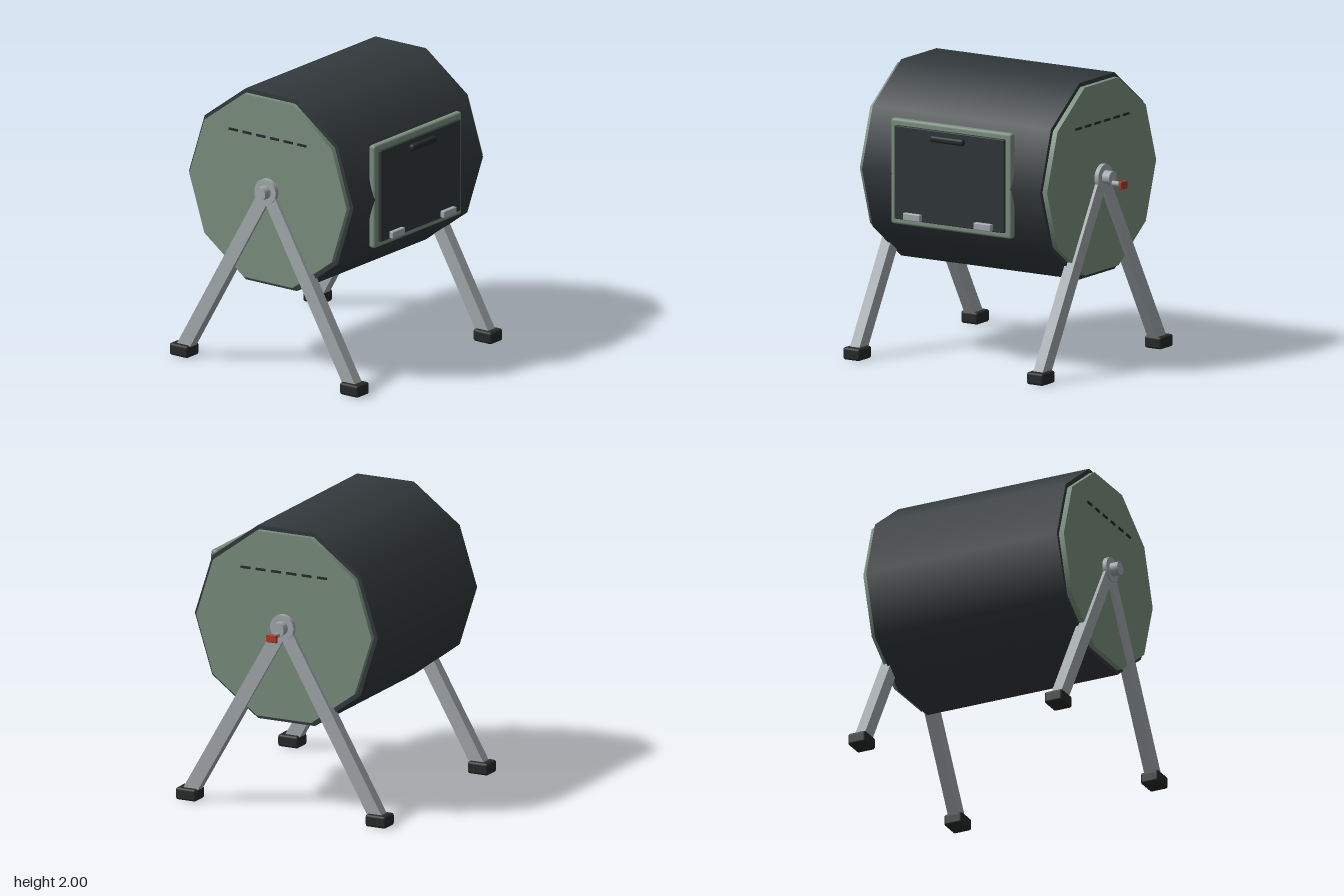
import * as THREE from 'three';
import { RoundedBoxGeometry } from 'three/addons/geometries/RoundedBoxGeometry.js';

const mat = (color) => new THREE.MeshStandardMaterial({ color });

export function createModel() {
  const model = new THREE.Group();
  model.name = 'tumblingComposter';

  const dark = mat(0x33393c), green = mat(0x7a8f7f), steel = mat(0xa3a9ad);
  const panel = mat(0x2f3739), black = mat(0x262a28), red = mat(0xa83a2e);
  const AXIS_Y = 1.316;

  // Everything is laid out symmetrically about the drum's middle
  const body = new THREE.Group();
  body.name = 'body';
  body.position.x = -0.048;
  model.add(body);

  const add = (name, geometry, material, x, y, z) => {
    const mesh = new THREE.Mesh(geometry, material);
    mesh.name = name;
    mesh.position.set(x, y, z);
    body.add(mesh);
    return mesh;
  };
  const box = (w, h, d) => new THREE.BoxGeometry(w, h, d);
  const rounded = (w, h, d, r) => new RoundedBoxGeometry(w, h, d, 3, r);
  // Cylinder lying along x
  const rod = (r, length, sides) =>
    new THREE.CylinderGeometry(r, r, length, sides).rotateZ(Math.PI / 2);

  // Ten-sided drum with smooth shading around its wall
  add('drum', rod(0.705, 1.455, 10).scale(1, 1.02, 1), dark, 0, AXIS_Y, 0);

  for (const s of [1, -1]) {
    // End cap with a row of vent slots
    add('endCap', rod(0.675, 0.06, 10).scale(1, 1.02, 1), green, s * 0.735, AXIS_Y, 0);
    for (let i = 0; i < 6; i++) {
      add('ventSlot', box(0.02, 0.016, 0.073), black, s * 0.763, 1.7, (i - 2.5) * 0.1175);
    }

    // Bearing flange and axle stub
    add('flange', rod(0.09, 0.06, 32), steel, s * 0.767, AXIS_Y, 0);
    add('axle', rod(0.047, 0.12, 32), steel, s * 0.797, AXIS_Y, 0);

    // A-frame legs from the axle down to the feet
    for (const f of [1, -1]) {
      const top = new THREE.Vector3(s * 0.749, AXIS_Y, 0);
      const foot = new THREE.Vector3(s * 0.749, 0.05, f * 0.725);
      const dir = foot.clone().sub(top);
      const mid = top.clone().add(foot).multiplyScalar(0.5);
      const leg = add('leg', box(0.077, dir.length(), 0.1), steel, mid.x, mid.y, mid.z);
      leg.rotation.x = Math.atan2(dir.z, dir.y);
      add('foot', rounded(0.138, 0.086, 0.158, 0.018), black, s * 0.75, 0.043, f * 0.73);
    }
  }

  // Crank pin and grip on the left end
  add('crankPin', rod(0.018, 0.12, 16), steel, 0.88, 1.28, 0);
  add('crankGrip', rounded(0.025, 0.056, 0.08, 0.005), red, 0.94, 1.277, 0);

  // Door: frame, panel, handle and hinges
  add('doorFrame', rounded(0.985, 0.735, 0.052, 0.018), green, 0, 1.335, 0.681);
  add('doorPanel', rounded(0.895, 0.65, 0.05, 0.006), panel, 0, 1.335, 0.705);
  add('doorHandle', rounded(0.275, 0.046, 0.045, 0.018), black, 0, 1.608, 0.748);
  for (const s of [1, -1]) {
    add('hinge', rounded(0.14, 0.05, 0.036, 0.007), steel, s * 0.289, 1.04, 0.745);
  }

  return model;
}
